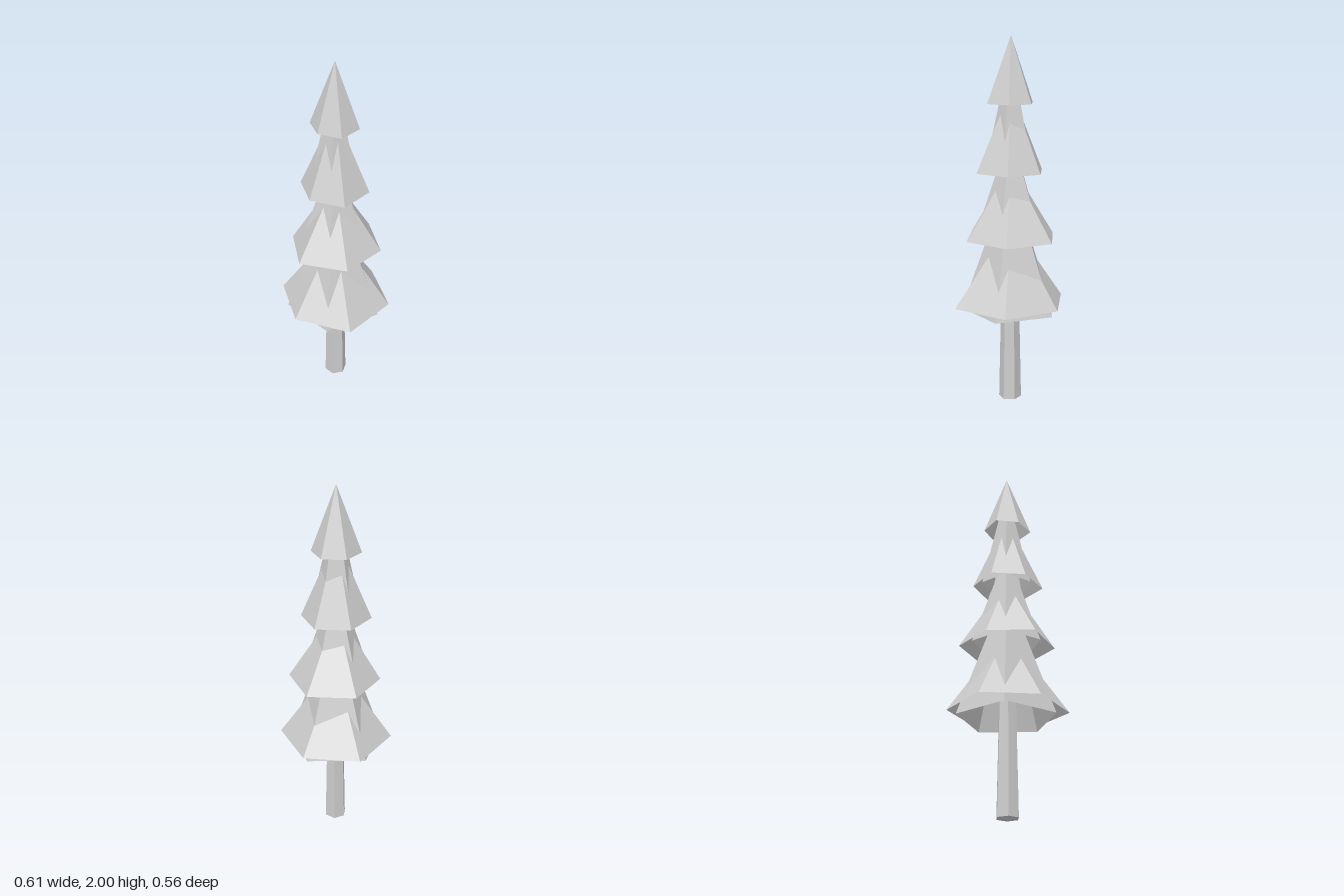
import * as THREE from 'three';

export function createModel() {
  const tree = new THREE.Group();
  tree.name = 'pineTree';
  const grey = new THREE.MeshStandardMaterial({ color: 0xcccccc, flatShading: true, side: THREE.DoubleSide });
  grey.name = 'lightGrey';

  // Open cone with one corner on +x; each rim corner has its own radius
  function openCone(name, baseY, apexY, radii) {
    const n = radii.length;
    const geo = new THREE.ConeGeometry(1, apexY - baseY, n, 1, true, Math.PI / 2);
    const pos = geo.attributes.position;
    for (let i = 0; i <= n; i++) {
      const v = n + 1 + i; // rim row follows the apex row
      const r = radii[i % n];
      pos.setX(v, pos.getX(v) * r);
      pos.setZ(v, pos.getZ(v) * r);
    }
    geo.computeVertexNormals();
    const mesh = new THREE.Mesh(geo, grey);
    mesh.name = name;
    mesh.position.set(0, (baseY + apexY) / 2, -0.009);
    tree.add(mesh);
  }

  // Six-sided branch skirts, slightly irregular
  openCone('bottomSkirt', 0.56, 1.01, [0.305, 0.312, 0.31, 0.305, 0.33, 0.312]);
  openCone('lowerSkirt', 0.925, 1.327, [0.265, 0.255, 0.241, 0.265, 0.26, 0.256]);
  openCone('upperSkirt', 1.288, 1.727, [0.19, 0.184, 0.188, 0.182, 0.2, 0.185]);
  openCone('topSkirt', 1.65, 2.0, [0.13, 0.127, 0.132, 0.12, 0.136, 0.129]);

  // Steeper five-sided cones that break through the skirts
  const five = (r) => Array(5).fill(r);
  openCone('bottomInnerCone', 0.52, 1.28, five(0.27));
  openCone('lowerInnerCone', 0.94, 1.515, five(0.191));
  openCone('upperInnerCone', 1.3, 1.93, five(0.139));

  // Tapered six-sided trunk
  const trunk = new THREE.Mesh(new THREE.CylinderGeometry(0.044, 0.062, 0.85, 6), grey);
  trunk.name = 'trunk';
  trunk.position.set(-0.002, 0.425, -0.004);
  tree.add(trunk);

  return tree;
}
